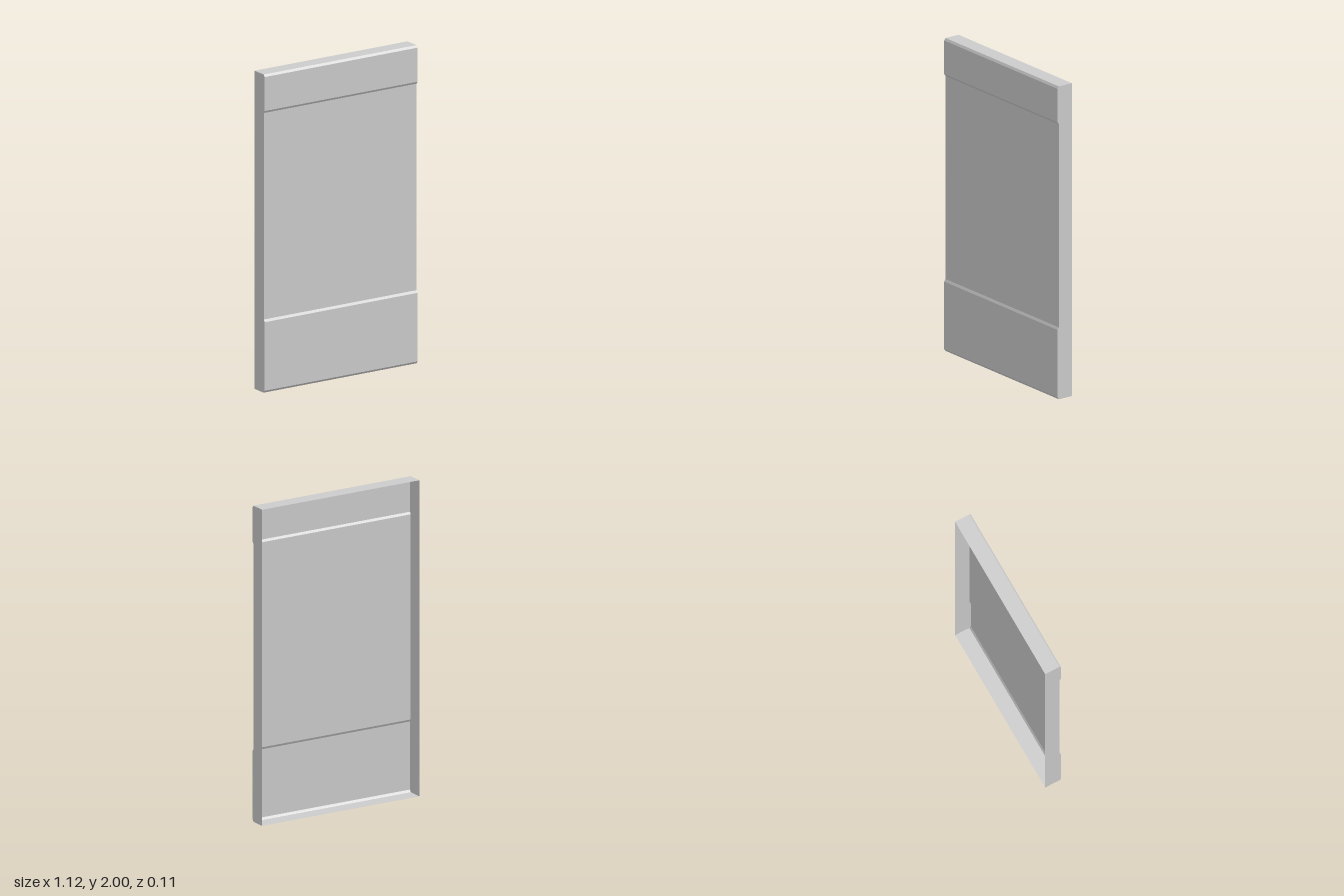
import * as THREE from 'three';

const HALF_WIDTH = 0.56;
const BACK = -0.054;

// Side outline as [z, y], from the bottom back edge round the front to the top back edge
const PROFILE = [
  [BACK, 0], [0.044, 0], [0.054, 0.014], [0.054, 0.445], [0.045, 0.46],
  [0.045, 1.758], [0.054, 1.772], [0.054, 1.986], [0.044, 2], [BACK, 2],
];

// Sweeps the outline across the width as flat strips, leaving the back open
function sweptShell() {
  const positions = [];
  for (let i = 0; i < PROFILE.length - 1; i++) {
    const [z0, y0] = PROFILE[i];
    const [z1, y1] = PROFILE[i + 1];
    const a = [-HALF_WIDTH, y0, z0], b = [HALF_WIDTH, y0, z0];
    const c = [HALF_WIDTH, y1, z1], d = [-HALF_WIDTH, y1, z1];
    positions.push(...a, ...b, ...c, ...a, ...c, ...d);
  }
  const geometry = new THREE.BufferGeometry();
  geometry.setAttribute('position', new THREE.Float32BufferAttribute(positions, 3));
  geometry.computeVertexNormals();
  return geometry;
}

// Flat side wall filling the outline, facing outwards
function sideWall(side) {
  const shape = new THREE.Shape(PROFILE.map(([z, y]) => new THREE.Vector2(-side * z, y)));
  return new THREE.ShapeGeometry(shape)
    .rotateY(side * Math.PI / 2)
    .translate(side * HALF_WIDTH, 0, 0);
}

export function createModel() {
  const group = new THREE.Group();
  group.name = 'panel';
  const material = new THREE.MeshStandardMaterial({
    color: 0xcccccc, flatShading: true, side: THREE.DoubleSide,
  });
  const add = (name, geometry) => {
    const mesh = new THREE.Mesh(geometry, material);
    mesh.name = name;
    group.add(mesh);
  };

  // Front face with raised bands, plus top and bottom rims
  add('frontShell', sweptShell());

  // Side walls
  add('leftWall', sideWall(1));
  add('rightWall', sideWall(-1));
  return group;
}
